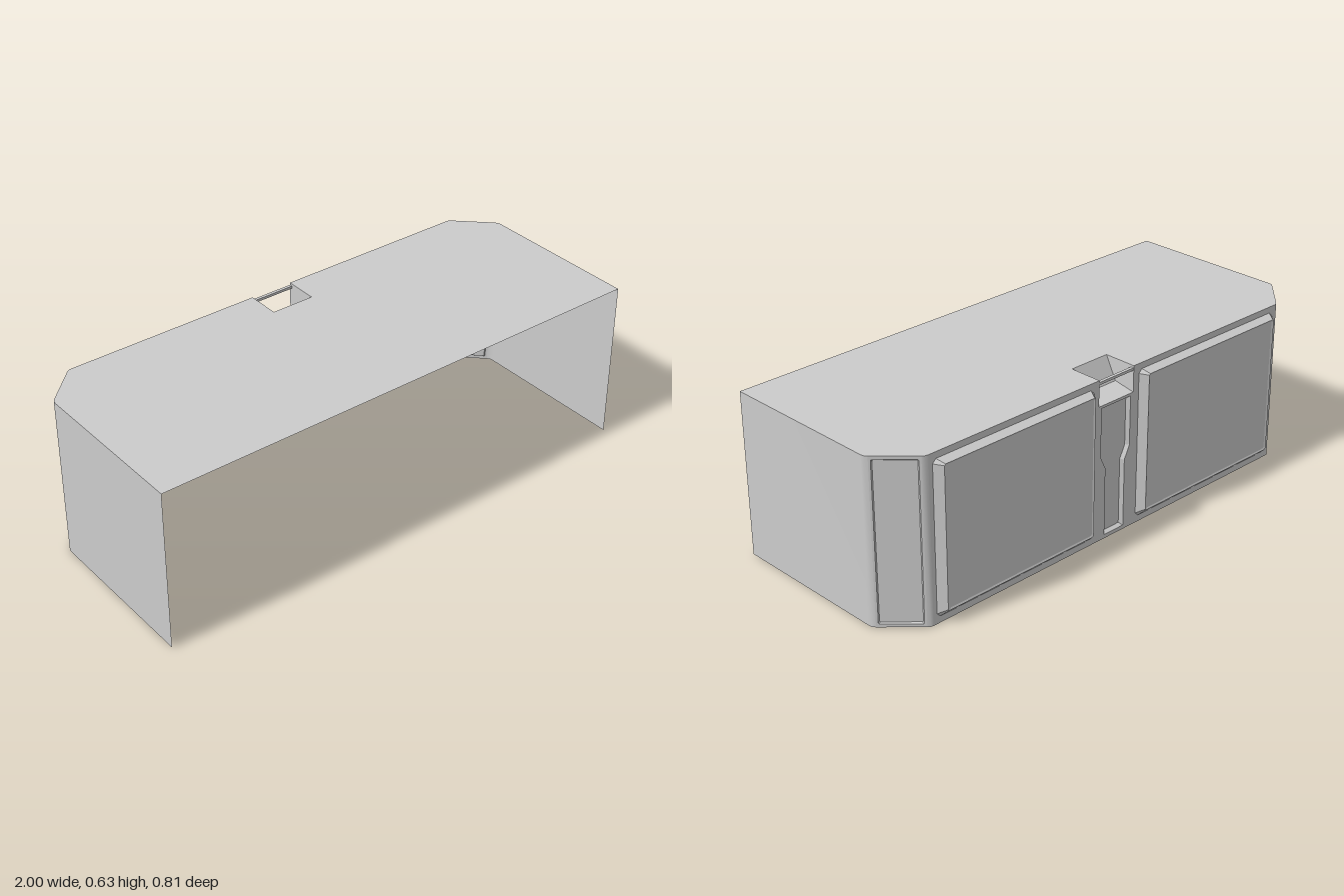
import * as THREE from 'three';

const H = 0.63, FRONT = 0.405, BACK = -0.375;
const smooth = new THREE.MeshStandardMaterial({ color: 0xcccccc, side: THREE.DoubleSide });
const flat = new THREE.MeshStandardMaterial({ color: 0xcccccc, side: THREE.DoubleSide, flatShading: true });

const vec = (pts) => pts.map(([x, y]) => new THREE.Vector2(x, y));

function addMesh(parent, name, geometry, material = flat) {
  const mesh = new THREE.Mesh(geometry, material);
  mesh.name = name;
  parent.add(mesh);
  return mesh;
}

// Flat sheet with optional holes, at depth z
function sheet(outline, holes = [], z = 0) {
  const shape = new THREE.Shape(vec(outline));
  holes.forEach((h) => shape.holes.push(new THREE.Path(vec(h))));
  return new THREE.ShapeGeometry(shape).translate(0, 0, z);
}

// Rectangle with clipped corners
function rect(x0, x1, y0, y1, c) {
  return [[x0 + c, y0], [x1 - c, y0], [x1, y0 + c], [x1, y1 - c],
    [x1 - c, y1], [x0 + c, y1], [x0, y1 - c], [x0, y0 + c]];
}

// Ribbon: a path of 3D points swept along one offset
function ribbon(path, [ox, oy, oz]) {
  const pos = [], index = [];
  path.forEach(([x, y, z], i) => {
    pos.push(x, y, z, x + ox, y + oy, z + oz);
    const a = i * 2;
    if (i) index.push(a - 2, a, a - 1, a - 1, a, a + 1);
  });
  const g = new THREE.BufferGeometry();
  g.setAttribute('position', new THREE.Float32BufferAttribute(pos, 3));
  g.setIndex(index);
  g.computeVertexNormals();
  return g;
}

// Pressed panel: walls between closed loops at given depths, last loop capped
function pressed(parent, name, loops) {
  const group = new THREE.Group();
  group.name = name;
  const pos = [], index = [], n = loops[0].pts.length;
  loops.forEach(({ pts, z }, k) => pts.forEach(([x, y], i) => {
    pos.push(x, y, z);
    if (!k) return;
    const a = (k - 1) * n + i, b = (k - 1) * n + (i + 1) % n;
    index.push(a, b, a + n, b, b + n, a + n);
  }));
  const g = new THREE.BufferGeometry();
  g.setAttribute('position', new THREE.Float32BufferAttribute(pos, 3));
  g.setIndex(index);
  g.computeVertexNormals();
  addMesh(group, name + 'Walls', g);
  const last = loops[loops.length - 1];
  addMesh(group, name + 'Face', sheet(last.pts, [], last.z));
  parent.add(group);
  return group;
}

export function createModel() {
  const model = new THREE.Group();
  model.name = 'shell';

  // Plan of one side: wall, rounded corner, chamfer, rounded corner
  const wall = [[1, FRONT], [1, -0.225], [0.998, -0.239], [0.99, -0.25]];
  const bend = [[0.87, -0.366], [0.861, -0.373], [0.85, BACK]];
  const half = [...wall, ...bend];
  const N = 0.085, ND = -0.245, NY = 0.53; // notch half width, depth and floor

  // Top sheet with the notch cut out; shape y is -z
  const plan = [
    ...half.map(([x, z]) => [x, -z]),
    [N, -BACK], [N, -ND], [-N, -ND], [-N, -BACK],
    ...half.slice().reverse().map(([x, z]) => [-x, -z]),
  ];
  addMesh(model, 'topSheet', sheet(plan).rotateX(-Math.PI / 2).translate(0, H, 0));

  // Side walls, corner bends and inset chamfer panels
  const p = wall[3], q = bend[0];
  const dx = p[0] - q[0], dz = p[1] - q[1], w = Math.hypot(dx, dz) / 2;
  for (const s of [1, -1]) {
    const side = s > 0 ? 'left' : 'right';
    const to3 = ([x, z]) => [x * s, 0, z];
    addMesh(model, side + 'Wall', ribbon(wall.map(to3), [0, H, 0]), smooth);
    addMesh(model, side + 'Bend', ribbon(bend.map(to3), [0, H, 0]), smooth);

    const chamfer = new THREE.Group();
    chamfer.name = side + 'Chamfer';
    const edge = rect(-w + 0.008, w - 0.008, 0.013, 0.617, 0.003);
    const inner = rect(-w + 0.012, w - 0.012, 0.017, 0.613, 0.003);
    addMesh(chamfer, 'chamferFrame', sheet([[-w, 0], [w, 0], [w, H], [-w, H]], [edge]));
    pressed(chamfer, 'chamferPanel', [{ pts: edge, z: 0 }, { pts: inner, z: -0.006 }]);
    chamfer.position.set(s * (p[0] + q[0]) / 2, 0, (p[1] + q[1]) / 2);
    chamfer.rotation.y = s * Math.atan2(-dz, -dx) * -1;
    // Local +z must point outward and backward
    chamfer.rotation.y = s * Math.atan2(dz, -dx);
    model.add(chamfer);
  }

  // Back sheet: openings for two raised panels and the centre channel
  const mirror = (pts, s) => pts.map(([x, y]) => [x * s, y]);
  const base = rect(0.112, 0.834, 0.025, 0.606, 0.014);
  const crest = rect(0.133, 0.811, 0.053, 0.593, 0.005);
  const face = rect(0.139, 0.802, 0.06, 0.587, 0.005);
  const channel = (e) => {
    const right = [[0.048 - e, 0.015 + e], [0.048 - e, 0.28], [0.072 - e, 0.33], [0.072 - e, 0.52 - e]];
    return [...right, ...mirror(right, -1).reverse()];
  };
  const backOutline = [[-0.85, 0], [0.85, 0], [0.85, H], [N, H], [N, NY], [-N, NY], [-N, H], [-0.85, H]];
  addMesh(model, 'backSheet',
    sheet(backOutline, [base, mirror(base, -1), channel(0)], BACK));

  for (const s of [1, -1]) {
    pressed(model, s > 0 ? 'leftRaisedPanel' : 'rightRaisedPanel', [
      { pts: mirror(base, s), z: BACK },
      { pts: mirror(crest, s), z: -0.405 },
      { pts: mirror(face, s), z: -0.402 },
    ]);
  }
  pressed(model, 'centreChannel', [
    { pts: channel(0), z: BACK },
    { pts: channel(0.009), z: BACK + 0.014 },
  ]);

  // Notch pocket: sloped wall, floor and two cheeks
  const section = [[ND, H], [-0.29, 0.545], [BACK, NY]];
  addMesh(model, 'notchPocket', ribbon(section.map(([z, y]) => [-N, y, z]), [2 * N, 0, 0]));
  for (const s of [1, -1]) {
    const cheek = sheet([...section, [BACK, H]]).rotateY(-Math.PI / 2).translate(s * N, 0, 0);
    addMesh(model, s > 0 ? 'leftNotchCheek' : 'rightNotchCheek', cheek);
  }

  // Thin bar across the notch
  const bar = addMesh(model, 'notchBar', new THREE.BoxGeometry(2 * N, 0.01, 0.012));
  bar.position.set(0, 0.617, BACK + 0.007);

  return model;
}
